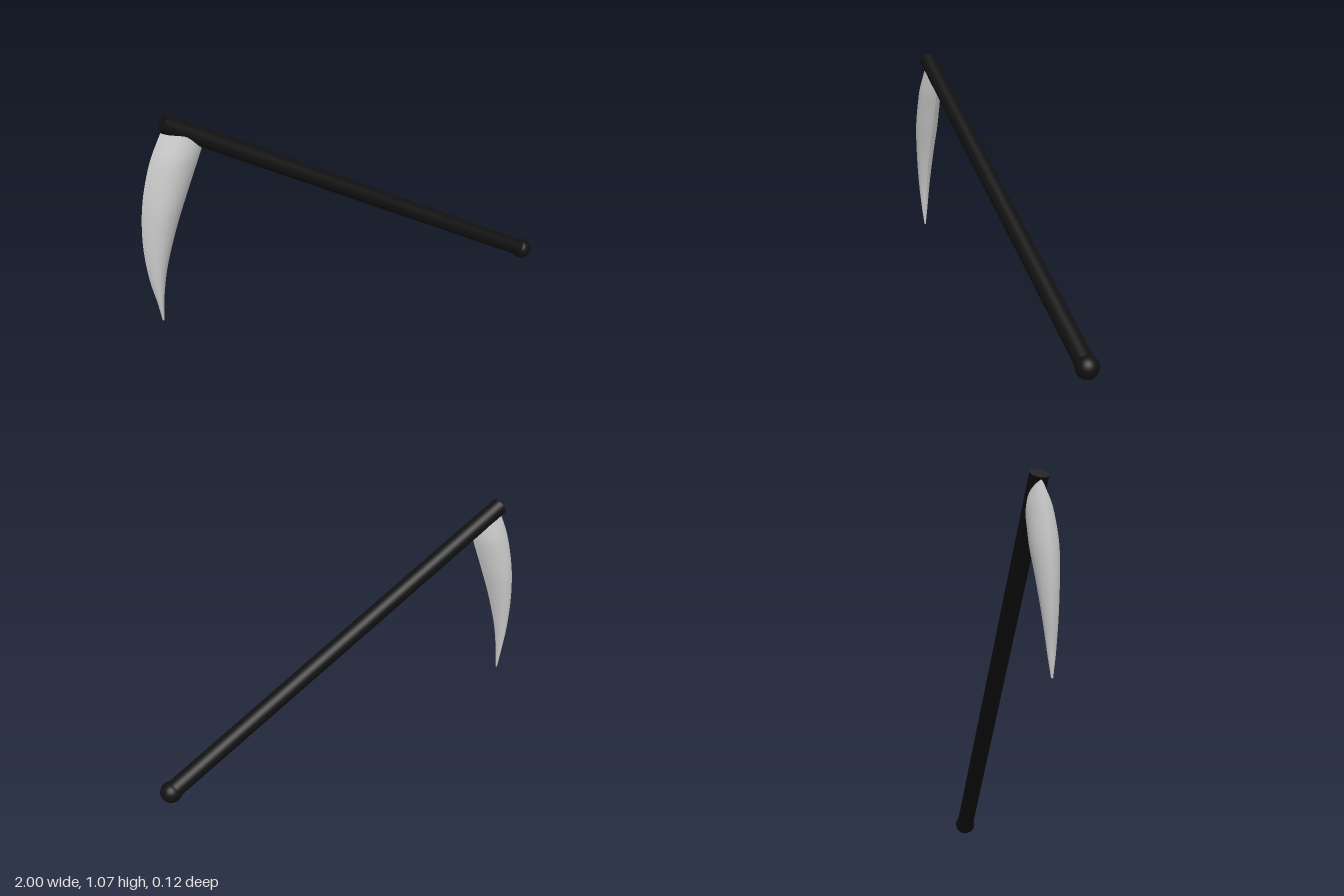
import * as THREE from 'three';

const black = new THREE.MeshStandardMaterial({ color: 0x111111 });
const grey = new THREE.MeshStandardMaterial({ color: 0xcccccc });

const curve = (pts) => new THREE.CatmullRomCurve3(pts.map(([x, y, z = 0]) => new THREE.Vector3(x, y, z)));

// Matching stations from tip (t = 0) to root (t = 1)
const outer = curve([[-0.955, 0.075], [-0.968, 0.17], [-0.99, 0.3], [-1.0, 0.48], [-0.981, 0.68], [-0.93, 0.87], [-0.868, 1.005]]);
const inner = curve([[-0.947, 0.075], [-0.938, 0.17], [-0.91, 0.33], [-0.85, 0.53], [-0.782, 0.71], [-0.722, 0.86], [-0.685, 0.955]]);
const thickness = curve([[0, 0.004], [0, 0.016], [0, 0.03], [0, 0.046], [0, 0.058], [0, 0.055], [0, 0.036]]);

// Point on the lens-shaped section: u from outer edge to inner edge, s = -1..1 across
function bladePoint(u, t, s) {
  const p = outer.getPoint(t).lerp(inner.getPoint(t), u);
  const arch = Math.pow(1 - (2 * u - 1) ** 2, 0.85);
  p.z = 0.002 + s * thickness.getPoint(t).y * arch;
  return p;
}

// Bend a unit plane by a rule of its (0..1, 0..1) coordinates
function bentSheet(name, cols, rows, rule) {
  const geo = new THREE.PlaneGeometry(1, 1, cols, rows);
  const pos = geo.attributes.position;
  for (let i = 0; i < pos.count; i++) {
    const p = rule(pos.getX(i) + 0.5, pos.getY(i) + 0.5);
    pos.setXYZ(i, p.x, p.y, p.z);
  }
  geo.computeVertexNormals();
  const mesh = new THREE.Mesh(geo, grey);
  mesh.name = name;
  return mesh;
}

export function createModel() {
  const model = new THREE.Group();
  model.name = 'scythe';

  // Straight round handle
  const head = new THREE.Vector3(-0.858, 1.038, -0.002);
  const foot = new THREE.Vector3(0.95, 0.05, -0.003);
  const axis = foot.clone().sub(head);
  const handle = new THREE.Mesh(new THREE.CylinderGeometry(0.042, 0.042, axis.length(), 32), black);
  handle.name = 'handle';
  handle.position.copy(head).add(foot).multiplyScalar(0.5);
  handle.quaternion.setFromUnitVectors(new THREE.Vector3(0, 1, 0), axis.clone().normalize());
  model.add(handle);

  // Ball at the foot of the handle
  const knob = new THREE.Mesh(new THREE.SphereGeometry(0.05, 32, 20), black);
  knob.name = 'endKnob';
  knob.position.copy(foot);
  model.add(knob);

  // Curved blade: two arched faces meeting at sharp edges, closed at root and tip
  const blade = new THREE.Group();
  blade.name = 'blade';
  blade.add(
    bentSheet('bladeFront', 16, 40, (u, t) => bladePoint(u, t, 1)),
    bentSheet('bladeBack', 16, 40, (u, t) => bladePoint(1 - u, t, -1)),
    bentSheet('bladeRoot', 16, 1, (u, v) => bladePoint(u, 1, 1 - 2 * v)),
    bentSheet('bladeTip', 16, 1, (u, v) => bladePoint(u, 0, 2 * v - 1)),
  );
  model.add(blade);

  return model;
}
